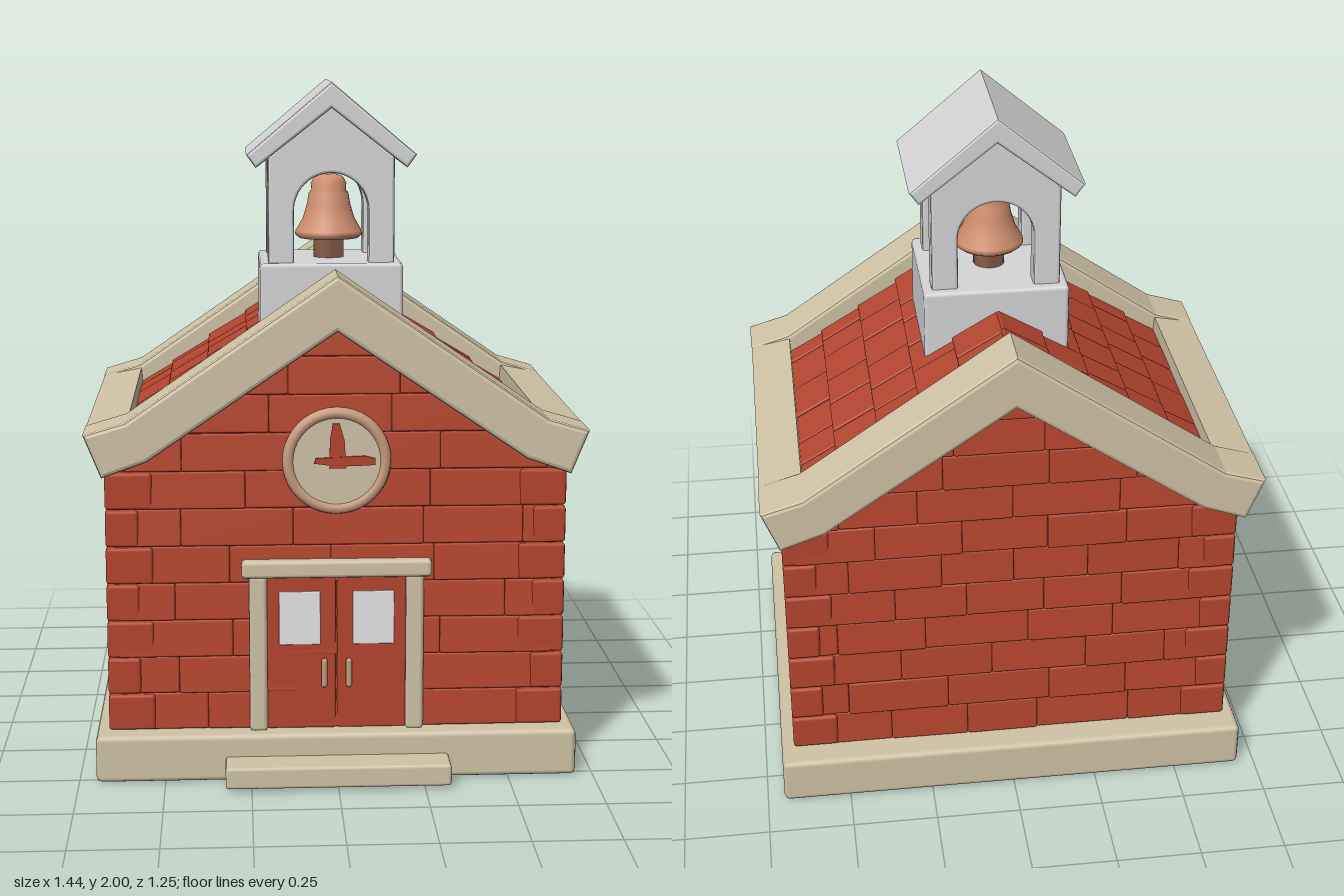
import * as THREE from 'three';
import { mergeGeometries } from 'three/addons/utils/BufferGeometryUtils.js';
import { RoundedBoxGeometry } from 'three/addons/geometries/RoundedBoxGeometry.js';

const material = (name, color) => Object.assign(new THREE.MeshStandardMaterial({ color }), { name });

export function createModel() {
  const model = new THREE.Group();
  model.name = 'schoolhouse';
  const red = material('brick red', 0xb5452f);
  const cream = material('cream stone', 0xd0c3a6);
  const white = material('tower white', 0xd6d6d8);
  const glass = material('window white', 0xf0f0f0);
  const copper = material('copper', 0xd08f70);
  const tan = material('clock rim tan', 0xc99d80);

  let seed = 7;
  const rand = () => (seed = (seed * 16807) % 2147483647) / 2147483647;

  const add = (name, geometry, mat, parent = model) => {
    const mesh = new THREE.Mesh(geometry, mat);
    mesh.name = name;
    parent.add(mesh);
    return mesh;
  };
  // Softened box given by its limits
  const block = (x0, x1, y0, y1, z0, z1, r = 0.012) =>
    new RoundedBoxGeometry(x1 - x0, y1 - y0, z1 - z0, 1, r)
      .translate((x0 + x1) / 2, (y0 + y1) / 2, (z0 + z1) / 2);
  // Bevelled extrusion of a shape between two depths
  const prism = (shape, z0, z1, b = 0.012) =>
    new THREE.ExtrudeGeometry(shape, {
      depth: z1 - z0 - 2 * b, bevelEnabled: b > 0, bevelSize: b, bevelThickness: b,
      bevelOffset: -b, bevelSegments: 2, curveSegments: 12,
    }).translate(0, 0, z0 + b);
  const polygon = (pts) => new THREE.Shape(pts.map(([x, y]) => new THREE.Vector2(x, y)));
  // Symmetric outline from its right half
  const mirrored = (pts) => polygon([...pts, ...pts.filter(([x]) => x > 0).reverse().map(([x, y]) => [-x, y])]);

  // Foundation and step
  add('foundation', block(-0.7, 0.7, 0, 0.14, -0.62, 0.53, 0.016), cream);
  add('frontStep', block(-0.325, 0.325, 0.01, 0.075, 0.48, 0.625, 0.01), cream);

  // Solid house body under the bricks
  add('houseBody', prism(polygon([[-0.64, 0.13], [0.64, 0.13], [0.64, 0.945], [0, 1.385], [-0.64, 0.945]]),
    -0.525, 0.458, 0), red);

  // Brick courses on a wall lying in the local xy plane
  const H = 0.11;
  function brickWall(half, rows, length, limit) {
    const parts = [];
    for (let r = 0; r < rows; r++) {
      const y = 0.14 + r * H;
      const end = Math.min(half, limit ? (1.44 - y - H) / 0.69 : half);
      let u = -end;
      let first = r % 2 ? 0.5 : 1;
      while (u < end - 0.001) {
        let w = length * first * (0.8 + 0.4 * rand());
        first = 1;
        if (u + w > end - 0.07) w = end - u;
        parts.push(new RoundedBoxGeometry(w, H - 0.002, 0.03, 1, 0.006)
          .rotateX(-0.08).rotateY((rand() - 0.5) * 0.025)
          .translate(u + w / 2, y + H / 2, -0.008 + 0.008 * rand()));
        u += w;
      }
    }
    return mergeGeometries(parts);
  }
  add('frontBricks', brickWall(0.63, 11, 0.32, true).translate(0, 0, 0.46), red);
  add('backBricks', brickWall(0.63, 11, 0.26, true).rotateY(Math.PI).translate(0, 0, -0.528), red);
  for (const s of [1, -1])
    add(s > 0 ? 'leftBricks' : 'rightBricks',
      brickWall(0.49, 7, 0.15, false).rotateY(s * Math.PI / 2).translate(s * 0.643, 0, -0.035), red);

  // Interlocking corner blocks
  const corners = [];
  for (const sx of [1, -1]) for (const sz of [1, -1]) for (let r = 0; r < 7; r++) {
    const w = r % 2 ? 0.095 : 0.135, d = r % 2 ? 0.135 : 0.095;
    corners.push(new RoundedBoxGeometry(w, H - 0.004, d, 1, 0.009)
      .translate(sx * (0.663 - w / 2), 0.14 + H * (r + 0.5), sz > 0 ? 0.478 - d / 2 : -0.545 + d / 2));
  }
  add('cornerBlocks', mergeGeometries(corners), red);

  // Overlapping roof shingles, one slope then the other
  const angle = Math.atan(0.69);
  function shingles() {
    const parts = [];
    for (let row = 0; row < 5; row++) {
      let z = -0.44;
      while (z < 0.43) {
        let w = (row % 2 && z === -0.44 ? 0.07 : 0.14) * (0.8 + 0.5 * rand());
        if (z + w > 0.38) w = 0.44 - z;
        const x = 0.06 + row * 0.12;
        parts.push(new RoundedBoxGeometry(0.155, 0.03, w - 0.002, 1, 0.006)
          .rotateZ(-angle + 0.06 + 0.02 * rand())
          .translate(x, 1.393 - 0.69 * x + 0.006 * rand(), z + w / 2));
        z += w;
      }
    }
    return mergeGeometries(parts);
  }
  add('leftShingles', shingles().translate(0, 0, -0.045), red);
  add('rightShingles', shingles().rotateY(Math.PI).translate(0, 0, -0.045), red);

  // Gable trims with flared eaves, joined by eave rails
  const trim = mirrored([[0, 1.478], [0.6, 1.065], [0.718, 1.03], [0.668, 0.905], [0.54, 0.95], [0, 1.318]].slice(0, 5));
  const trimShape = polygon([[0, 1.478], [0.6, 1.065], [0.718, 1.03], [0.668, 0.905], [0.54, 0.95], [0, 1.318],
    [-0.54, 0.95], [-0.668, 0.905], [-0.718, 1.03], [-0.6, 1.065]]);
  add('frontGableTrim', prism(trimShape, 0.37, 0.53), cream);
  add('backGableTrim', prism(trimShape, -0.622, -0.458), cream);
  for (const s of [1, -1])
    add(s > 0 ? 'leftEave' : 'rightEave',
      prism(polygon([[0.595, 1.055], [0.716, 1.03], [0.667, 0.907], [0.585, 0.935]].map(([x, y]) => [s * x, y])),
        -0.59, 0.5), cream);

  // Doorway
  const door = new THREE.Group();
  door.name = 'doorway';
  model.add(door);
  add('lintel', block(-0.275, 0.275, 0.598, 0.65, 0.44, 0.5), cream, door);
  for (const s of [1, -1]) {
    const side = s > 0 ? 'left' : 'right';
    add(side + 'DoorPost', block(s * 0.227 - 0.026, s * 0.227 + 0.026, 0.135, 0.605, 0.44, 0.492), cream, door);
    add(side + 'Door', block(s * 0.102 - 0.1, s * 0.102 + 0.1, 0.14, 0.6, 0.44, 0.477, 0.006), red, door);
    add(side + 'Window', block(s * 0.107 - 0.06, s * 0.107 + 0.06, 0.395, 0.555, 0.473, 0.481, 0.003), glass, door);
    add(side + 'Handle', new THREE.CapsuleGeometry(0.009, 0.07, 4, 8).translate(s * 0.036, 0.31, 0.483), tan, door);
  }

  // Clock
  const clock = new THREE.Group();
  clock.name = 'clock';
  clock.position.set(0, 0.94, 0.475);
  model.add(clock);
  add('clockFace', new THREE.CylinderGeometry(0.14, 0.14, 0.03, 40).rotateX(Math.PI / 2).translate(0, 0, -0.005), cream, clock);
  add('clockRim', new THREE.TorusGeometry(0.139, 0.017, 10, 40), tan, clock);
  add('hourHand', prism(polygon([[-0.022, -0.02], [0.026, -0.02], [0.022, 0.06], [0.008, 0.11], [-0.012, 0.11], [-0.02, 0.06]]),
    0.008, 0.014, 0), red, clock);
  add('minuteHand', prism(polygon([[-0.065, -0.005], [-0.06, 0.01], [0.08, 0.016], [0.11, 0.008], [0.11, -0.01], [0.08, -0.012], [0, -0.014]]),
    0.008, 0.016, 0), red, clock);

  // Bell tower
  const tower = new THREE.Group();
  tower.name = 'bellTower';
  model.add(tower);
  add('towerBase', block(-0.212, 0.212, 1.25, 1.472, -0.2, 0.195), white, tower);
  // Panel with an arched opening down to the base
  function archPanel(half, open, wallTop, peak) {
    const s = new THREE.Shape();
    s.moveTo(-half, 1.46);
    s.lineTo(-open, 1.46);
    s.lineTo(-open, 1.735 - open);
    s.absarc(0, 1.735 - open, open, Math.PI, 0, true);
    s.lineTo(open, 1.46);
    s.lineTo(half, 1.46);
    s.lineTo(half, wallTop);
    if (peak > wallTop) s.lineTo(0, peak);
    s.lineTo(-half, wallTop);
    s.closePath();
    return s;
  }
  const frontArch = archPanel(0.187, 0.11, 1.785, 1.94), sideArch = archPanel(0.165, 0.1, 1.785, 1.785);
  add('frontArch', prism(frontArch, 0.095, 0.168, 0.008), white, tower);
  add('backArch', prism(frontArch, -0.173, -0.1, 0.008), white, tower);
  for (const s of [1, -1])
    add(s > 0 ? 'leftArch' : 'rightArch',
      prism(sideArch, -0.035, 0.035, 0.008).rotateY(Math.PI / 2).translate(s * 0.149, 0, -0.003), white, tower);
  add('towerRoof', prism(polygon([[0, 2], [0.25, 1.79], [0.222, 1.752], [0, 1.925], [-0.222, 1.752], [-0.25, 1.79]]),
    -0.205, 0.195, 0.008), white, tower);

  // Bell on its short pedestal
  const bell = [[0, 1.46], [0.046, 1.46], [0.046, 1.53], [0.09, 1.53], [0.102, 1.54], [0.1, 1.552], [0.078, 1.59],
    [0.066, 1.63], [0.06, 1.665], [0.052, 1.675], [0.054, 1.695], [0.042, 1.715], [0.02, 1.722], [0, 1.723]];
  add('bell', new THREE.LatheGeometry(bell.map(([x, y]) => new THREE.Vector2(x, y)), 28).translate(0, 0, -0.003), copper, tower);

  return model;
}
